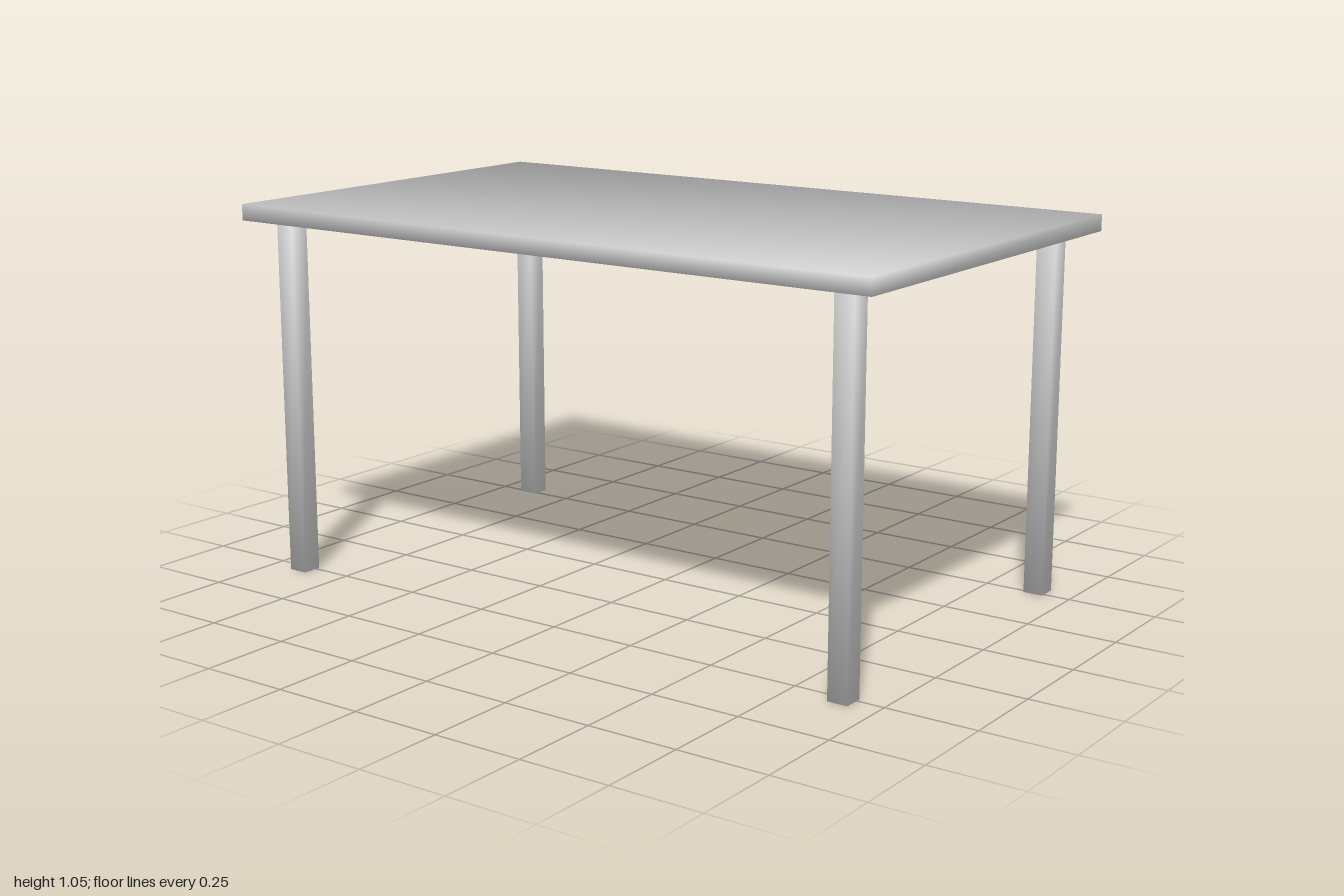
import * as THREE from 'three';

const material = new THREE.MeshStandardMaterial({ color: 0xcccccc });

// Box whose corner normals point diagonally outward, for soft shading across its edges
function softBox(name, w, h, d, x, y, z) {
  const geometry = new THREE.BoxGeometry(w, h, d);
  const { position, normal } = geometry.attributes;
  const n = new THREE.Vector3();
  for (let i = 0; i < position.count; i++) {
    n.set(Math.sign(position.getX(i)), Math.sign(position.getY(i)), Math.sign(position.getZ(i))).normalize();
    normal.setXYZ(i, n.x, n.y, n.z);
  }
  const mesh = new THREE.Mesh(geometry, material);
  mesh.name = name;
  mesh.position.set(x, y, z);
  return mesh;
}

export function createModel() {
  const table = new THREE.Group();
  table.name = 'table';

  // Thin rectangular slab
  const legHeight = 1.003, thickness = 0.045;
  table.add(softBox('tableTop', 2, thickness, 1.2, 0, legHeight + thickness / 2, 0));

  // Four square legs set in from the corners
  const legWidth = 0.056;
  for (const [xSide, sx] of [['Left', 1], ['Right', -1]]) {
    for (const [zSide, sz] of [['front', 1], ['back', -1]]) {
      table.add(softBox(`${zSide}${xSide}Leg`, legWidth, legHeight, legWidth, sx * 0.896, legHeight / 2, sz * 0.516));
    }
  }
  return table;
}
